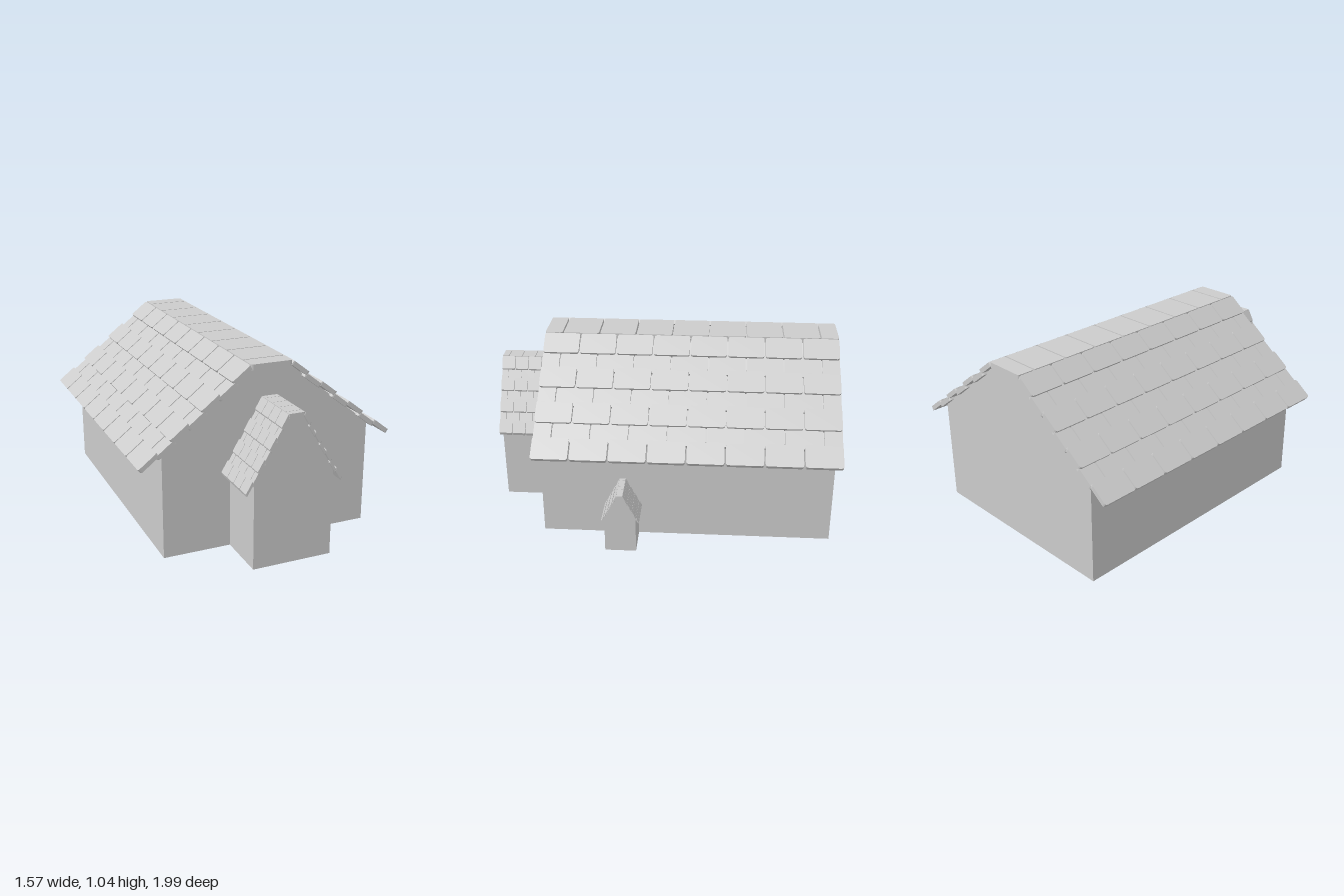
import * as THREE from 'three';
import { mergeGeometries } from 'three/addons/utils/BufferGeometryUtils.js';

const COUNT = 8, PITCH = 0.2142, HALF = COUNT * PITCH / 2; // tiles along the roof

const material = new THREE.MeshStandardMaterial({ color: 0xcccccc, flatShading: true });

// Flat tile with rounded corners: x from 0 to length, y up, centred on z
function tileGeometry(length, width, thickness, r = 0.014) {
  const w = width / 2;
  const s = new THREE.Shape();
  s.moveTo(r, -w);
  s.lineTo(length - r, -w);
  s.quadraticCurveTo(length, -w, length, -w + r);
  s.lineTo(length, w - r);
  s.quadraticCurveTo(length, w, length - r, w);
  s.lineTo(r, w);
  s.quadraticCurveTo(0, w, 0, w - r);
  s.lineTo(0, -w + r);
  s.quadraticCurveTo(0, -w, r, -w);
  return new THREE.ExtrudeGeometry(s, { depth: thickness, bevelEnabled: false, curveSegments: 3 })
    .rotateX(-Math.PI / 2);
}

// One course of tiles along z; staggered courses end in half tiles
function course(length, thickness, staggered) {
  const gap = 0.008, tiles = [];
  const n = staggered ? COUNT + 1 : COUNT;
  for (let i = 0; i < n; i++) {
    const half = staggered && (i === 0 || i === n - 1);
    const start = -HALF + (staggered ? Math.max(0, i - 0.5) : i) * PITCH;
    const width = half ? PITCH / 2 : PITCH;
    tiles.push(tileGeometry(length, width - gap, thickness).translate(0, 0, start + width / 2));
  }
  return mergeGeometries(tiles);
}

// Seven overlapping courses, every second one set lower
function slopeGeometry() {
  const angle = Math.atan(0.775), rows = [];
  for (let i = 0; i < 7; i++) {
    const low = i % 2 === 1;
    rows.push(course(0.13, 0.026, low).translate(i * 0.1115, low ? -0.014 : 0, 0));
  }
  return mergeGeometries(rows).rotateZ(angle).translate(-0.742, 0.528, 0);
}

// Gabled body with a flat-topped profile
function bodyGeometry() {
  const s = new THREE.Shape([
    [-0.62, 0], [0.62, 0], [0.62, 0.61], [0.12, 1.008], [-0.12, 1.008], [-0.62, 0.61],
  ].map(([x, y]) => new THREE.Vector2(x, y)));
  return new THREE.ExtrudeGeometry(s, { depth: 1.65, bevelEnabled: false }).translate(0, 0, -0.825);
}

export function createModel() {
  const model = new THREE.Group();
  const body = bodyGeometry();
  const slope = slopeGeometry();
  const ridge = course(0.244, 0.032, true).translate(-0.122, 1.008, 0);

  function building(name, x, z, scaleXZ, scaleY, turn = 0) {
    const g = new THREE.Group();
    g.name = name;
    const add = (part, geometry) => {
      const m = new THREE.Mesh(geometry, material);
      m.name = part;
      g.add(m);
      return m;
    };
    add('walls', body);
    add('leftRoofTiles', slope).rotation.y = Math.PI;
    add('rightRoofTiles', slope);
    add('ridgeTiles', ridge);
    g.position.set(x, 0, z);
    g.scale.set(scaleXZ, scaleY, scaleXZ);
    g.rotation.y = turn;
    model.add(g);
  }

  // Main house, with smaller copies set into its front and side
  building('mainHouse', -0.026, -0.142, 1, 1);
  building('frontPorch', -0.025, 0.681, 0.372, 0.817);
  building('sidePorch', 0.664, 0.217, 0.141, 0.346, Math.PI / 2);
  return model;
}
